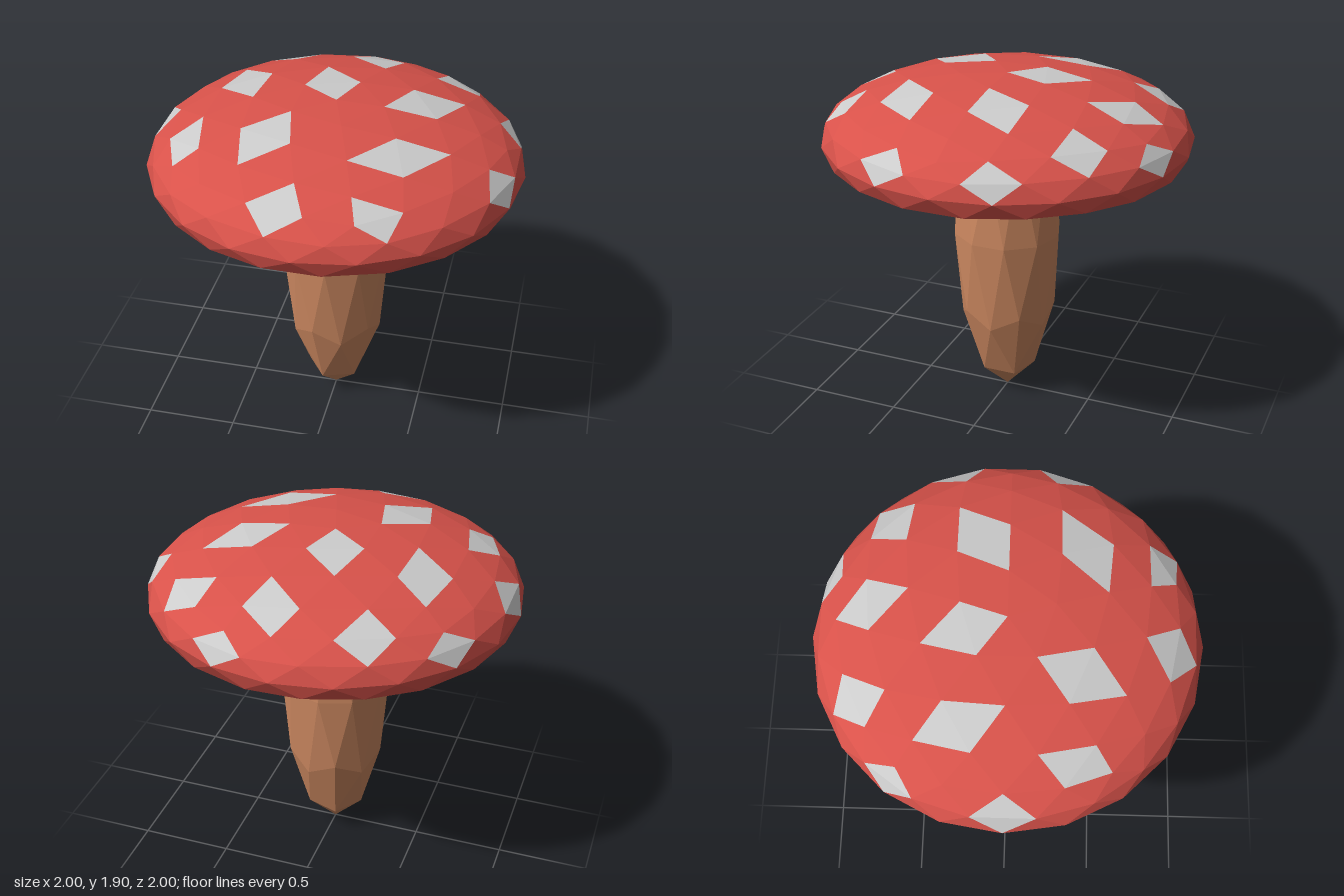
import * as THREE from 'three';

// Faceted ball with one corner pointing straight up and its neighbour towards +x
function facetedBall(detail) {
  const geo = new THREE.IcosahedronGeometry(1, detail);
  geo.rotateZ(-Math.atan(2 / (1 + Math.sqrt(5))));
  return geo;
}

// Moves every vertex by a rule
function reshape(geo, rule) {
  const pos = geo.attributes.position;
  const v = new THREE.Vector3();
  for (let i = 0; i < pos.count; i++) {
    rule(v.fromBufferAttribute(pos, i));
    pos.setXYZ(i, v.x, v.y, v.z);
  }
  geo.computeVertexNormals();
  return geo;
}

// Unindexed geometry made of the given corner points
function fromPoints(points) {
  return new THREE.BufferGeometry().setFromPoints(points);
}

function part(name, geo, color) {
  const mesh = new THREE.Mesh(geo, new THREE.MeshStandardMaterial({ color, flatShading: true }));
  mesh.name = name;
  return mesh;
}

// Spot centres seen from above (x, z); each spot is a pair of neighbouring facets
const SPOTS = [
  [-0.4, -0.735], [0.09, -0.695], [0.295, -0.905], [0.57, -0.61],
  [-0.77, -0.56], [-0.535, -0.23], [-0.07, -0.21], [0.455, -0.13],
  [0.9, -0.285], [-0.94, 0], [-0.705, 0.355], [-0.28, 0.37],
  [0.405, 0.39], [0.9, 0.285], [-0.105, 0.83], [0.36, 0.79],
];

// Flat dome; the lower part is pushed up inside to leave a hanging rim
function capShape(v) {
  const lift = v.y < -0.4 ? 0.21 : 0;
  v.y = 1.565 + 0.335 * v.y + lift;
}

export function createModel() {
  const group = new THREE.Group();
  group.name = 'mushroom';

  // Split the ball's facets between the cap skin and the spots
  const pos = facetedBall(3).attributes.position;
  const faces = [];
  for (let i = 0; i < pos.count; i += 3) {
    const corners = [0, 1, 2].map((k) => new THREE.Vector3().fromBufferAttribute(pos, i + k));
    const centre = new THREE.Vector3();
    corners.forEach((c) => centre.add(c));
    faces.push({ corners, centre: centre.normalize(), spot: false });
  }
  for (const [x, z] of SPOTS) {
    const target = new THREE.Vector3(x, Math.sqrt(Math.max(0, 1 - x * x - z * z)), z);
    [...faces]
      .sort((a, b) => a.centre.distanceTo(target) - b.centre.distanceTo(target))
      .slice(0, 2)
      .forEach((f) => { f.spot = true; });
  }
  const pick = (spot) => fromPoints(faces.filter((f) => f.spot === spot).flatMap((f) => f.corners));
  group.add(part('cap', reshape(pick(false), capShape), 0xd8524a));
  group.add(part('capSpots', reshape(pick(true), capShape), 0xcccccc));

  // Tall pointed stem, its top hidden inside the cap
  const stem = reshape(facetedBall(1), (v) => {
    v.set(v.x * 0.3, Math.min(1 + v.y, 1.8), v.z * 0.3);
  });
  group.add(part('stem', stem, 0xcc8860));

  return group;
}
